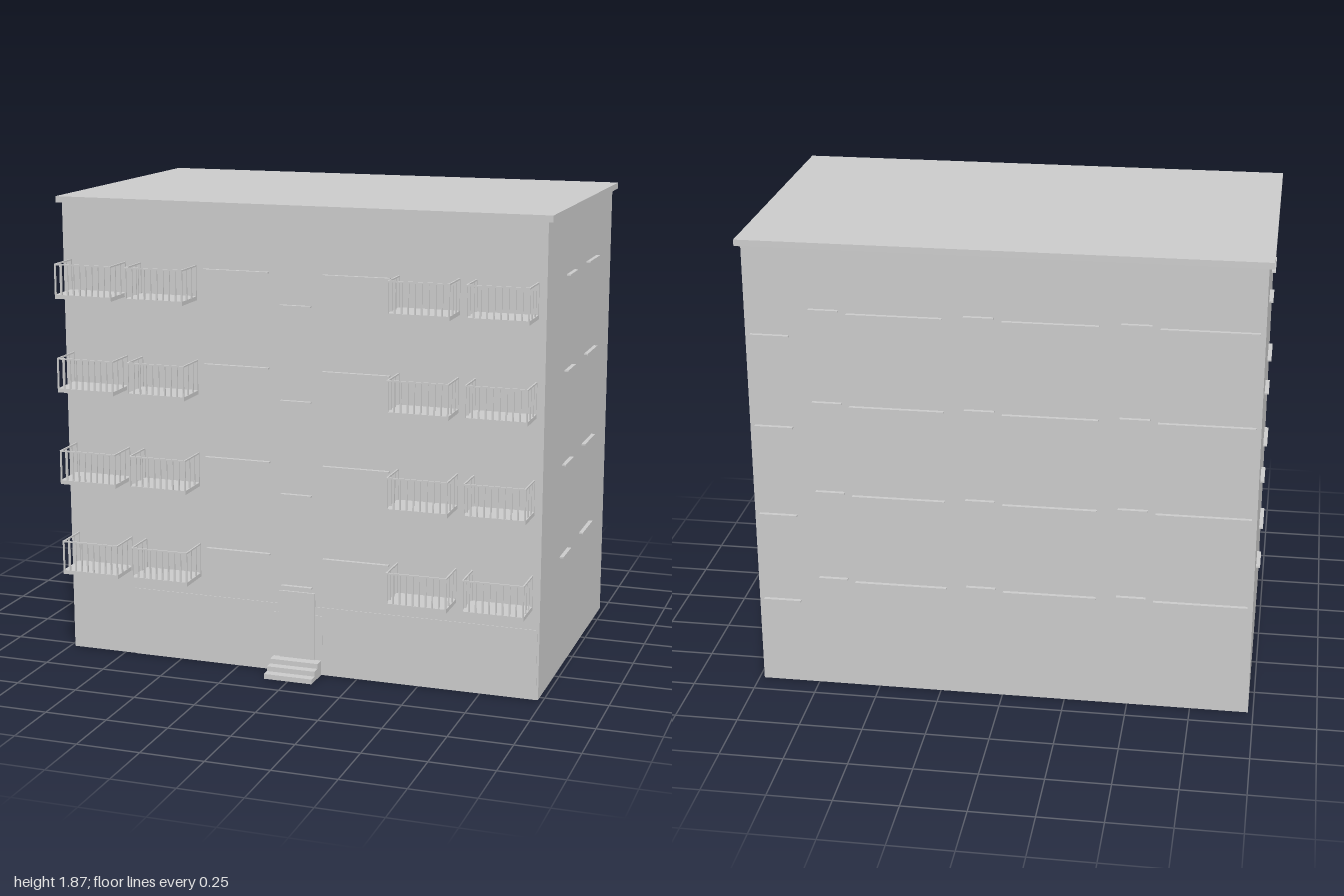
import * as THREE from 'three';

const FLOORS = 4, PITCH = 0.374;
const X = 0.98, ZF = 0.53, ZB = -0.66, H = 1.84;

export function createModel() {
  const model = new THREE.Group();
  const mat = new THREE.MeshStandardMaterial({ color: 0xcccccc });
  const shellMat = new THREE.MeshStandardMaterial({ color: 0xcccccc, side: THREE.DoubleSide });

  // Box given by its minimum and maximum on each axis
  function block(name, x0, x1, y0, y1, z0, z1, parent = model) {
    const mesh = new THREE.Mesh(new THREE.BoxGeometry(x1 - x0, y1 - y0, z1 - z0), mat);
    mesh.position.set((x0 + x1) / 2, (y0 + y1) / 2, (z0 + z1) / 2);
    mesh.name = name;
    parent.add(mesh);
    return mesh;
  }

  // Four outer walls, open underneath
  const walls = new THREE.Group();
  walls.name = 'walls';
  const zMid = (ZF + ZB) / 2, depth = ZF - ZB;
  const sides = [
    ['frontWall', 2 * X, 0, ZF, 0],
    ['leftWall', depth, X, zMid, Math.PI / 2],
    ['backWall', 2 * X, 0, ZB, Math.PI],
    ['rightWall', depth, -X, zMid, -Math.PI / 2],
  ];
  for (const [name, width, x, z, turn] of sides) {
    const wall = new THREE.Mesh(new THREE.PlaneGeometry(width, H), shellMat);
    wall.position.set(x, H / 2, z);
    wall.rotation.y = turn;
    wall.name = name;
    walls.add(wall);
  }
  model.add(walls);

  // Flat overhanging roof
  block('roof', -1, 1, H, 1.865, -0.68, 0.545);

  // Thin facing on the ground floor front
  block('plinthPanel', -0.7, 0.972, 0, 0.28, ZF - 0.002, ZF + 0.003);

  // Entrance door with wider middle section
  block('door', -0.075, 0.075, 0.06, 0.335, ZF - 0.002, ZF + 0.008);
  block('doorSidePanels', -0.105, 0.105, 0.125, 0.245, ZF - 0.002, ZF + 0.006);

  // Entrance steps
  for (let i = 0; i < 3; i++) {
    block('entranceStep', -0.1, 0.1, i * 0.02, (i + 1) * 0.02, ZF, 0.647 - i * 0.035);
  }

  // Balcony: slab, top rails on three sides, and upright bars
  function balcony(cx, y) {
    const g = new THREE.Group();
    g.name = 'balcony';
    g.position.set(cx, y, 0);
    const w = 0.12, front = 0.675, t = 0.006, top = 0.138;
    block('balconySlab', -w, w, 0, 0.016, ZF, front, g);
    block('frontRail', -w, w, top - t, top, front - t, front, g);
    for (let i = 0; i < 10; i++) {
      const x = -w + (i * (2 * w - t)) / 9;
      block('frontBar', x, x + t, 0.016, top - t, front - t, front, g);
    }
    for (const s of [-1, 1]) {
      const x = s * (w - t / 2);
      block('sideRail', x - t / 2, x + t / 2, top - t, top, ZF, front - t, g);
      for (const z of [0.533, 0.578, 0.626]) {
        block('sideBar', x - t / 2, x + t / 2, 0.016, top - t, z - t / 2, z + t / 2, g);
      }
    }
    model.add(g);
  }

  // Window sill spans on each side
  const frontSills = [[-0.38, -0.11], [0.11, 0.38]];
  const leftSills = [[0.06, 0.2], [-0.36, -0.165]];
  const rightSills = leftSills.map(([a, b]) => [2 * zMid - b, 2 * zMid - a]);
  const out = 0.016, thick = 0.006;

  for (let f = 0; f < FLOORS; f++) {
    const dy = f * PITCH;
    for (const x of [-0.83, -0.53, 0.53, 0.83]) balcony(x, 0.357 + dy);

    const y = 0.477 + dy, stairY = 0.353 + dy;
    for (const [a, b] of frontSills) block('frontSill', a, b, y, y + thick, ZF, ZF + out);
    block('stairSill', -0.063, 0.063, stairY, stairY + thick, ZF, ZF + out);

    const sy = 0.473 + dy;
    for (const [a, b] of leftSills) block('leftSill', X, X + out, sy, sy + thick, a, b);
    for (const [a, b] of rightSills) block('rightSill', -X - out, -X, sy, sy + thick, a, b);

    // Back: a repeated short and long window, plus one lower window
    for (let i = 0; i < 3; i++) {
      const x = 0.73 - i * 0.59;
      block('backShortSill', x - 0.115, x, sy, sy + thick, ZB - out, ZB);
      block('backLongSill', x - 0.51, x - 0.145, sy - 0.012, sy + thick - 0.012, ZB - out, ZB);
    }
    block('backLowSill', 0.81, 0.96, stairY + 0.01, stairY + 0.01 + thick, ZB - out, ZB);
  }

  return model;
}
